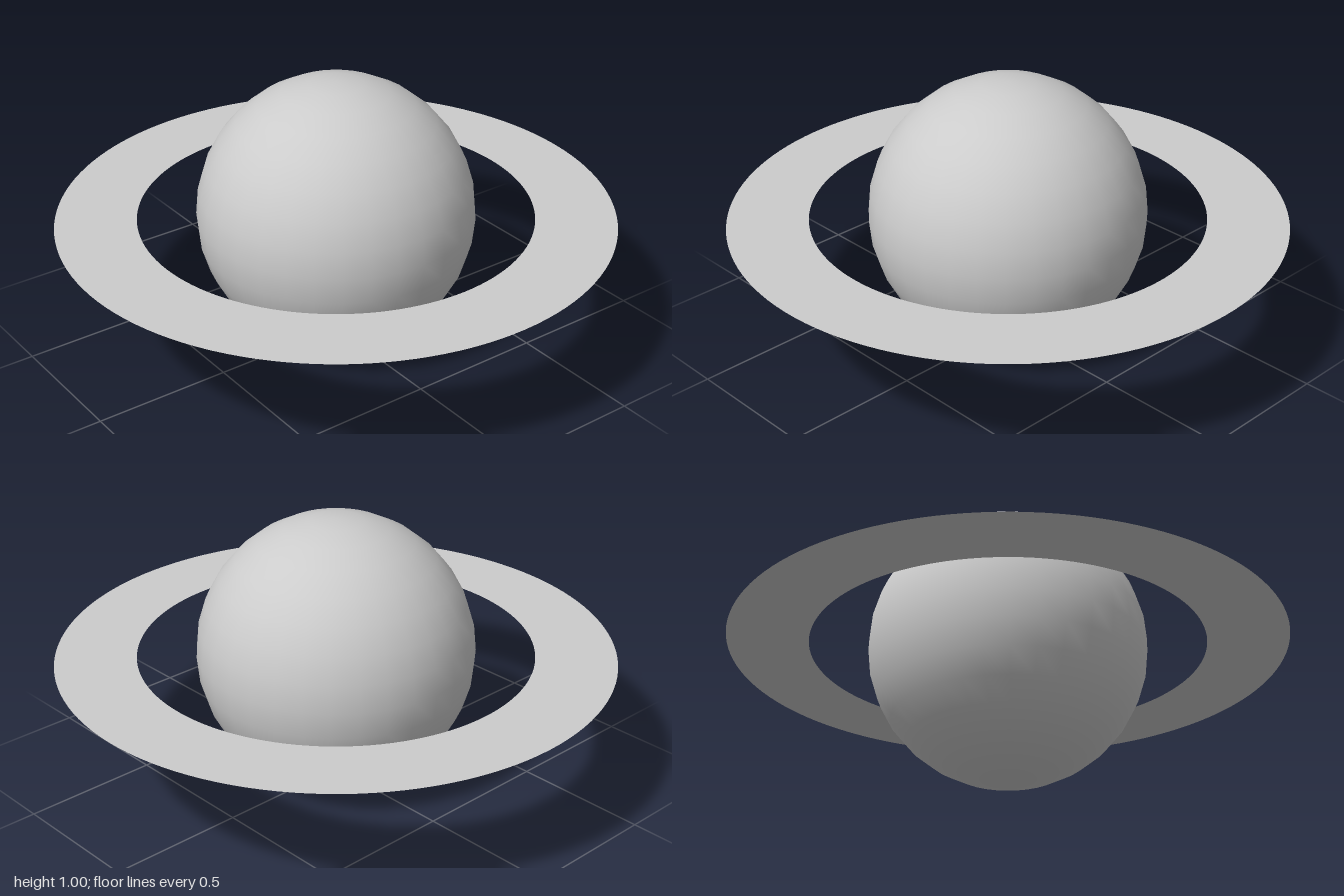
import * as THREE from 'three';

export function createModel() {
  const model = new THREE.Group();
  const radius = 0.5;

  // Globe resting on the ground
  const globe = new THREE.Mesh(
    new THREE.SphereGeometry(radius, 32, 16),
    new THREE.MeshStandardMaterial({ color: 0xcccccc })
  );
  globe.name = 'planet';
  globe.position.y = radius;
  model.add(globe);

  // Flat, thin ring around the equator, seen from both sides
  const ring = new THREE.Mesh(
    new THREE.RingGeometry(0.71, 1, 128),
    new THREE.MeshStandardMaterial({ color: 0xcccccc, side: THREE.DoubleSide })
  );
  ring.name = 'ring';
  ring.rotation.x = -Math.PI / 2;
  ring.position.y = radius;
  model.add(ring);

  return model;
}
